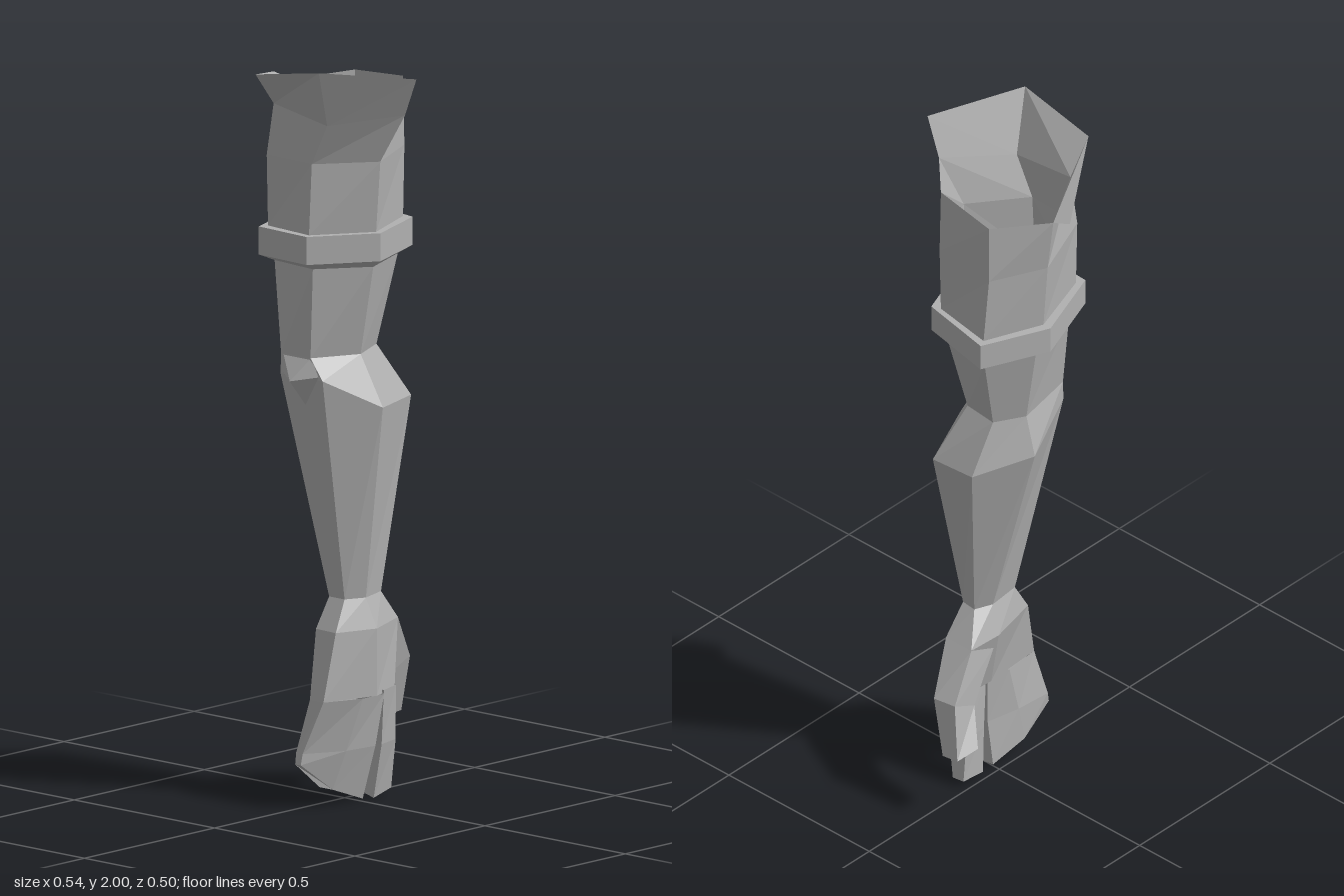
import * as THREE from 'three';
import { ConvexGeometry } from 'three/addons/geometries/ConvexGeometry.js';

// Skin cross-sections listed from top to bottom, points clockwise seen from above
function loft(rings, { closed = true, cap = false } = {}) {
  const n = rings[0].length, pos = [];
  const tri = (...pts) => pts.forEach((p) => pos.push(...p));
  for (let r = 0; r < rings.length - 1; r++) {
    const t = rings[r], b = rings[r + 1];
    for (let i = 0; i < (closed ? n : n - 1); i++) {
      const j = (i + 1) % n;
      tri(t[i], t[j], b[j]);
      tri(t[i], b[j], b[i]);
    }
  }
  if (cap) {
    const b = rings[rings.length - 1];
    for (let i = 1; i < n - 1; i++) tri(b[0], b[i], b[i + 1]);
  }
  const g = new THREE.BufferGeometry();
  g.setAttribute('position', new THREE.Float32BufferAttribute(pos, 3));
  g.computeVertexNormals();
  return g;
}

// Level cross-section from x, z pairs
const level = (y, ...xz) => xz.map(([x, z]) => [x, y, z]);

export function createModel() {
  const group = new THREE.Group();
  const grey = new THREE.MeshStandardMaterial({ color: 0xb0b0b0, flatShading: true, side: THREE.DoubleSide });
  grey.name = 'plain grey';
  const add = (name, geometry) => {
    const mesh = new THREE.Mesh(geometry, grey);
    mesh.name = name;
    group.add(mesh);
  };

  // Six corners per arm section: left-hand side, two back, right-hand side, two front
  const rim = [[-0.22, 1.885, -0.03], [-0.13, 1.9, -0.18], [0.06, 1.915, -0.16],
    [0.22, 1.86, 0.005], [0.1, 1.84, 0.175], [-0.1, 1.87, 0.165]];
  const sleeveEnd = level(1.54, [-0.185, -0.03], [-0.12, -0.19], [0.06, -0.16], [0.14, 0.03], [0.04, 0.18], [-0.12, 0.165]);
  const armTop = level(1.445, [-0.16, -0.03], [-0.105, -0.17], [0.06, -0.14], [0.13, 0.03], [0.035, 0.16], [-0.115, 0.145]);
  const wrist = level(0.55, [-0.005, -0.03], [0.015, -0.08], [0.06, -0.075], [0.085, 0.01], [0.06, 0.065], [0.005, 0.065]);

  // Upper sleeve, open at the shoulder
  add('upperSleeve', loft([
    rim,
    level(1.73, [-0.2, -0.03], [-0.13, -0.18], [0.06, -0.165], [0.155, 0.03], [0.045, 0.175], [-0.12, 0.17]),
    sleeveEnd,
  ]));

  // Flared flap around the front of the shoulder
  add('shoulderFlap', loft([
    [[0.27, 1.965, 0.015], [0.14, 2, 0.25], [-0.095, 1.96, 0.24], [-0.27, 1.9, -0.02]],
    [rim[3], rim[4], rim[5], rim[0]],
  ], { closed: false }));

  // Band around the upper arm
  const band = [[-0.21, -0.03], [-0.13, -0.212], [0.085, -0.17], [0.16, 0.035], [0.05, 0.2], [-0.13, 0.19]];
  add('armBand', loft([sleeveEnd, level(1.54, ...band), level(1.465, ...band), armTop]));

  // Arm from the band through the elbow to the wrist
  add('arm', loft([
    armTop,
    level(1.205, [-0.115, -0.02], [-0.07, -0.1], [0.03, -0.09], [0.085, 0.03], [0.025, 0.158], [-0.08, 0.158]),
    [[-0.145, 1.09, -0.02], [-0.06, 1.06, -0.17], [0.07, 1.06, -0.18],
      [0.155, 1.07, 0.02], [0.07, 1.15, 0.16], [-0.08, 1.15, 0.16]],
    wrist,
  ]));

  // Small wedge at the elbow
  add('elbowWedge', new ConvexGeometry([
    [-0.075, 1.205, 0.155], [0.025, 1.205, 0.155], [-0.07, 1.16, 0.165],
    [0.06, 1.16, 0.165], [-0.01, 1.145, 0.2], [0, 1.075, 0.15],
  ].map((p) => new THREE.Vector3(...p))));

  // Palm
  add('palm', loft([
    wrist,
    level(0.47, [-0.035, -0.04], [-0.03, -0.14], [0.06, -0.14], [0.115, 0], [0.075, 0.115], [0, 0.11]),
    level(0.29, [0.01, -0.02], [0.015, -0.1], [0.085, -0.1], [0.115, 0], [0.07, 0.157], [0.02, 0.155]),
  ], { cap: true }));

  // Joined outer fingers with a slanted tip
  add('joinedFingers', loft([
    level(0.29, [0.02, 0.155], [0.01, 0.05], [0.015, -0.03], [0.113, -0.03], [0.112, 0.05], [0.07, 0.157]),
    level(0.15, [-0.003, 0.183], [0.005, 0.08], [0.025, -0.018], [0.093, -0.018], [0.08, 0.08], [0.022, 0.185]),
    [[0, 0.12, 0.19], [0.003, 0.045, 0.1], [0.015, 0.012, -0.008],
      [0.057, 0.005, -0.008], [0.05, 0.045, 0.1], [0.02, 0.12, 0.19]],
  ], { cap: true }));

  // Separate index finger
  add('indexFinger', loft([
    level(0.3, [0.02, -0.03], [0.02, -0.1], [0.09, -0.1], [0.112, -0.03]),
    level(0.15, [0.015, -0.043], [0.01, -0.115], [0.075, -0.115], [0.092, -0.043]),
    [[0.012, 0.012, -0.05], [0.012, 0.02, -0.125], [0.05, 0.015, -0.125], [0.057, 0, -0.05]],
  ], { cap: true }));

  // Bent thumb
  add('thumb', loft([
    [[-0.035, 0.44, -0.06], [-0.03, 0.47, -0.14], [0.06, 0.47, -0.14], [0.08, 0.32, -0.08]],
    [[-0.05, 0.31, -0.15], [-0.05, 0.345, -0.225], [0.015, 0.345, -0.235], [0.02, 0.31, -0.15]],
    [[-0.1, 0.215, -0.19], [-0.085, 0.2, -0.253], [-0.03, 0.19, -0.25], [-0.03, 0.185, -0.2]],
  ], { cap: true }));

  return group;
}
